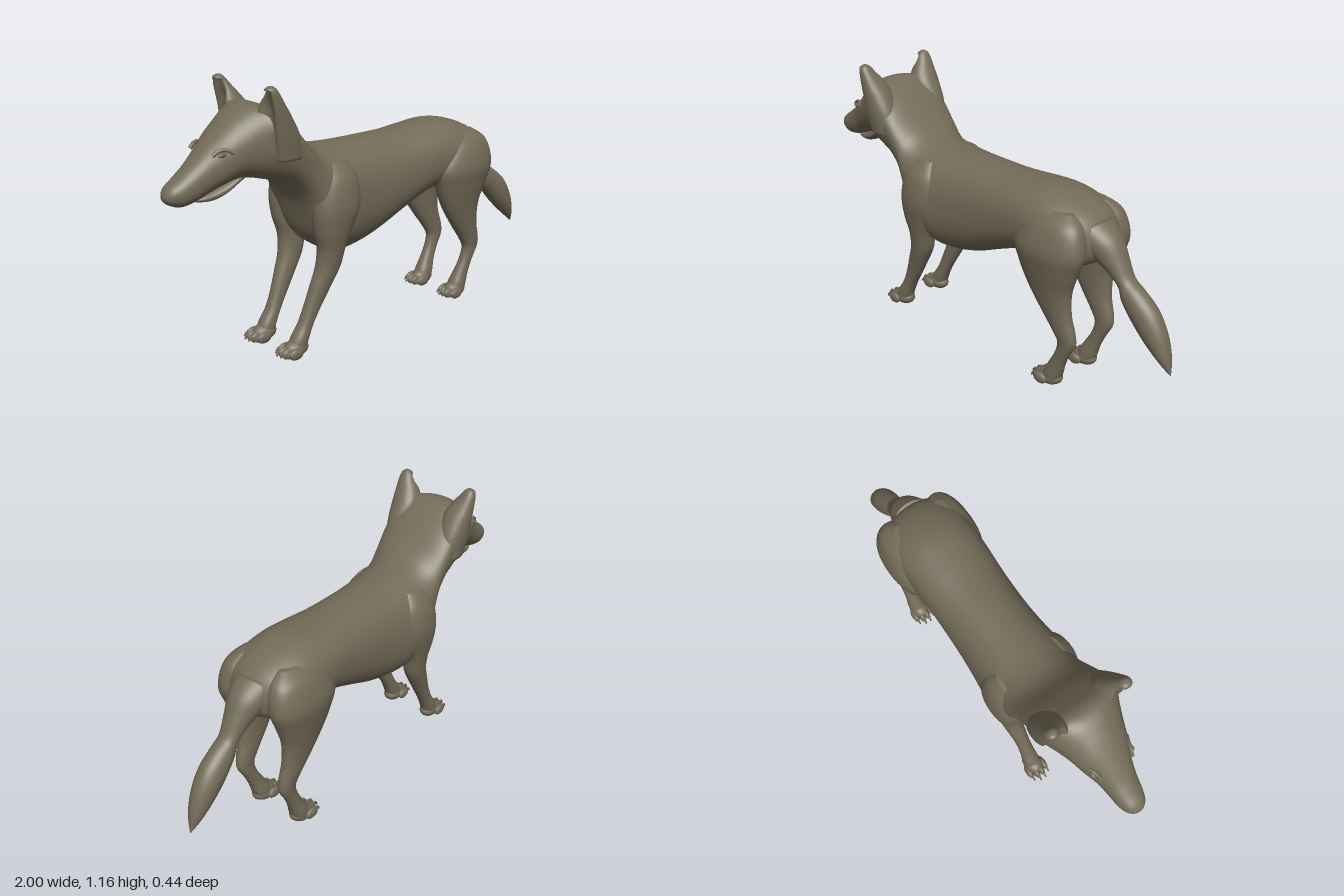
import * as THREE from 'three';

const fur = new THREE.MeshStandardMaterial({ color: 0x736b58 });
fur.name = 'grey brown fur';

function addMesh(parent, name, geometry) {
  const mesh = new THREE.Mesh(geometry, fur);
  mesh.name = name;
  parent.add(mesh);
  return mesh;
}

// Smooth interpolation through rows of numbers
function sample(rows, t) {
  const i = Math.min(Math.floor(t), rows.length - 2), f = t - i;
  const at = (k) => rows[Math.max(0, Math.min(rows.length - 1, k))];
  const [a, b, c, d] = [at(i - 1), at(i), at(i + 1), at(i + 2)];
  return b.map((p, k) => {
    const m0 = (c[k] - a[k]) / 2, m1 = (d[k] - p) / 2;
    return p + f * (m0 + f * (3 * (c[k] - p) - 2 * m0 - m1 + f * (2 * (p - c[k]) + m0 + m1)));
  });
}

// Closed skin over cross-sections: centre, half-axis u, half-axis v, roundness, taper
function loft(rows, { around = 40, steps = 6, rule } = {}) {
  const pos = [], index = [];
  const rings = (rows.length - 1) * steps + 1;
  const power = (c, n) => Math.sign(c) * Math.pow(Math.abs(c), 2 / n);
  for (let r = 0; r < rings; r++) {
    const s = sample(rows, r / steps);
    for (let j = 0; j < around; j++) {
      const a = (j / around) * Math.PI * 2;
      const v = power(Math.sin(a), s[9]);
      const u = power(Math.cos(a), s[9]) * (1 + s[10] * v);
      const p = [0, 1, 2].map((k) => s[k] + u * s[3 + k] + v * s[6 + k]);
      if (rule) rule(p);
      pos.push(...p);
    }
  }
  for (let r = 0; r < rings - 1; r++) {
    for (let j = 0; j < around; j++) {
      const a = r * around + j, b = r * around + (j + 1) % around;
      index.push(a, b, a + around, b, b + around, a + around);
    }
  }
  for (const [r, flip] of [[0, true], [rings - 1, false]]) {
    const centre = pos.length / 3;
    pos.push(...sample(rows, r / steps).slice(0, 3));
    for (let j = 0; j < around; j++) {
      const a = r * around + j, b = r * around + (j + 1) % around;
      index.push(centre, flip ? b : a, flip ? a : b);
    }
  }
  // Turn the skin outwards whatever the section order
  let volume = 0;
  const P = (i) => new THREE.Vector3().fromArray(pos, i * 3);
  for (let i = 0; i < index.length; i += 3) {
    volume += P(index[i]).dot(P(index[i + 1]).cross(P(index[i + 2])));
  }
  if (volume < 0) index.reverse();
  const g = new THREE.BufferGeometry();
  g.setAttribute('position', new THREE.Float32BufferAttribute(pos, 3));
  g.setIndex(index);
  g.computeVertexNormals();
  return g;
}

// Upright section across the body
const across = ([x, top, bottom, w, n = 2.2, taper = 0]) =>
  [x, (top + bottom) / 2, 0, 0, 0, w, 0, (top - bottom) / 2, 0, n, taper];

// Level section through a leg or ear
const level = (side) => ([y, x0, x1, z0, z1, n = 2.2]) =>
  [(x0 + x1) / 2, y, side * (z0 + z1) / 2, (x1 - x0) / 2, 0, 0, 0, 0, (z1 - z0) / 2, n, 0];

function ball(parent, name, [x, y, z], [rx, ry, rz]) {
  const m = addMesh(parent, name, new THREE.SphereGeometry(1, 18, 12));
  m.position.set(x, y, z);
  m.scale.set(rx, ry, rz);
  return m;
}

// Paw with four toes and hooked claws
function addPaw(parent, name, x, z) {
  const paw = new THREE.Group();
  paw.name = name;
  ball(paw, 'pad', [0.04, 0.036, 0], [0.058, 0.036, 0.042]);
  for (let i = 0; i < 4; i++) {
    const dz = (i - 1.5) * 0.026, dx = i === 0 || i === 3 ? 0.012 : -0.004;
    ball(paw, 'toe', [dx, 0.027, dz], [0.036, 0.025, 0.0145]);
    const path = new THREE.QuadraticBezierCurve3(
      new THREE.Vector3(dx - 0.018, 0.036, dz),
      new THREE.Vector3(dx - 0.038, 0.05, dz),
      new THREE.Vector3(dx - 0.046, 0.02, dz));
    addMesh(paw, 'claw', new THREE.TubeGeometry(path, 8, 0.004, 6));
  }
  paw.position.set(x, 0, z);
  parent.add(paw);
}

export function createModel() {
  const model = new THREE.Group();
  model.name = 'wolf';

  // Trunk, neck and upper head in one skin: x, top, bottom, half width, roundness, taper
  addMesh(model, 'body', loft([
    [0.665, 0.71, 0.63, 0.04], [0.64, 0.75, 0.6, 0.09], [0.59, 0.797, 0.57, 0.155],
    [0.5, 0.835, 0.55, 0.18], [0.4, 0.852, 0.54, 0.185], [0.28, 0.845, 0.535, 0.18, 2.3],
    [0.15, 0.838, 0.485, 0.175, 2.3], [0, 0.84, 0.42, 0.175, 2.3], [-0.12, 0.842, 0.388, 0.183, 2.3],
    [-0.22, 0.846, 0.384, 0.195, 2.3], [-0.3, 0.856, 0.42, 0.195, 2.3], [-0.36, 0.875, 0.49, 0.185, 2.4, 0.08],
    [-0.41, 0.91, 0.645, 0.178, 2.6, 0.1], [-0.47, 0.975, 0.72, 0.178, 2.8, 0.12],
    [-0.53, 1.03, 0.75, 0.178, 3, 0.14], [-0.585, 1.07, 0.768, 0.172, 2.9, 0.12],
    [-0.64, 1.07, 0.782, 0.15, 2.5, 0.03], [-0.7, 1.037, 0.785, 0.128],
    [-0.76, 0.99, 0.772, 0.108], [-0.82, 0.935, 0.75, 0.083], [-0.88, 0.878, 0.728, 0.068],
    [-0.935, 0.835, 0.72, 0.059], [-0.975, 0.808, 0.733, 0.044], [-0.995, 0.785, 0.75, 0.022],
    [-1, 0.772, 0.764, 0.006],
  ].map(across), { around: 56 }));

  addMesh(model, 'lowerJaw', loft([
    [-0.64, 0.83, 0.795, 0.06], [-0.7, 0.81, 0.768, 0.07], [-0.75, 0.785, 0.737, 0.064],
    [-0.8, 0.765, 0.72, 0.053], [-0.85, 0.75, 0.722, 0.04], [-0.885, 0.742, 0.73, 0.015],
  ].map(across)));

  // Tail: x, y, half thickness, half width, set square to its slope
  addMesh(model, 'tail', loft([
    [0.58, 0.72, 0.075, 0.1], [0.65, 0.665, 0.072, 0.08], [0.71, 0.605, 0.05, 0.056],
    [0.76, 0.545, 0.034, 0.044], [0.795, 0.5, 0.052, 0.05], [0.86, 0.435, 0.062, 0.055],
    [0.92, 0.36, 0.052, 0.048], [0.968, 0.287, 0.028, 0.03], [1, 0.225, 0.001, 0.001],
  ].map(([x, y, h, w]) => [x, y, 0, h * 0.76, h * 0.65, 0, 0, 0, w, 2, 0])));

  for (const side of [1, -1]) {
    const label = side < 0 ? 'left' : 'right';

    // Hind leg: y, x range, z range
    addMesh(model, label + 'HindLeg', loft([
      [0.8, 0.45, 0.56, 0.08, 0.13], [0.75, 0.37, 0.622, 0.05, 0.19], [0.65, 0.305, 0.646, 0.05, 0.22],
      [0.56, 0.325, 0.618, 0.065, 0.207], [0.46, 0.368, 0.585, 0.075, 0.184], [0.36, 0.435, 0.585, 0.083, 0.165],
      [0.28, 0.495, 0.606, 0.087, 0.152], [0.23, 0.522, 0.608, 0.089, 0.145], [0.17, 0.508, 0.576, 0.088, 0.142],
      [0.11, 0.475, 0.55, 0.081, 0.143], [0.06, 0.448, 0.535, 0.07, 0.148], [0.015, 0.445, 0.52, 0.072, 0.146],
    ].map(level(side))));
    addPaw(model, label + 'HindPaw', 0.437, side * 0.108);

    // Foreleg with shoulder
    addMesh(model, label + 'Foreleg', loft([
      [0.8, -0.33, -0.22, 0.1, 0.15], [0.73, -0.37, -0.18, 0.08, 0.2], [0.62, -0.392, -0.17, 0.07, 0.217],
      [0.52, -0.385, -0.21, 0.075, 0.203], [0.44, -0.365, -0.24, 0.08, 0.185], [0.36, -0.372, -0.258, 0.08, 0.17],
      [0.28, -0.4, -0.302, 0.08, 0.157], [0.2, -0.43, -0.35, 0.08, 0.145], [0.13, -0.46, -0.392, 0.077, 0.142],
      [0.07, -0.5, -0.42, 0.072, 0.146], [0.02, -0.51, -0.44, 0.072, 0.146],
    ].map(level(side))));
    addPaw(model, label + 'Forepaw', -0.518, side * 0.108);

    // Ear, its front face scooped into a cup
    addMesh(model, label + 'Ear', loft([
      [0.86, -0.6, -0.46, 0.1, 0.188], [0.95, -0.635, -0.475, 0.085, 0.197], [1.03, -0.642, -0.515, 0.075, 0.2],
      [1.08, -0.642, -0.55, 0.095, 0.2], [1.12, -0.642, -0.578, 0.125, 0.198],
      [1.145, -0.64, -0.596, 0.143, 0.192], [1.156, -0.628, -0.608, 0.158, 0.178],
    ].map(level(side)), {
      rule: (p) => {
        const mid = -0.585 - Math.max(0, p[1] - 1.05) * 0.3;
        const across = 1 - ((Math.abs(p[2]) - 0.15) / 0.045) ** 2;
        if (p[0] < mid && p[1] < 1.14) p[0] += Math.max(0, across) * Math.min(0.035, (mid - p[0]) * 0.7);
      },
    }));

    // Eye under a heavy lid
    const eye = ball(model, label + 'Eye', [-0.785, 0.91, side * 0.088], [0.026, 0.011, 0.012]);
    eye.rotation.y = side * 0.35;
    const lid = new THREE.CatmullRomCurve3([
      [-0.825, 0.908, 0.076], [-0.8, 0.926, 0.084], [-0.775, 0.927, 0.093], [-0.745, 0.912, 0.108],
    ].map(([x, y, z]) => new THREE.Vector3(x, y, side * z)));
    addMesh(model, label + 'Eyelid', new THREE.TubeGeometry(lid, 16, 0.008, 8));
  }

  return model;
}
